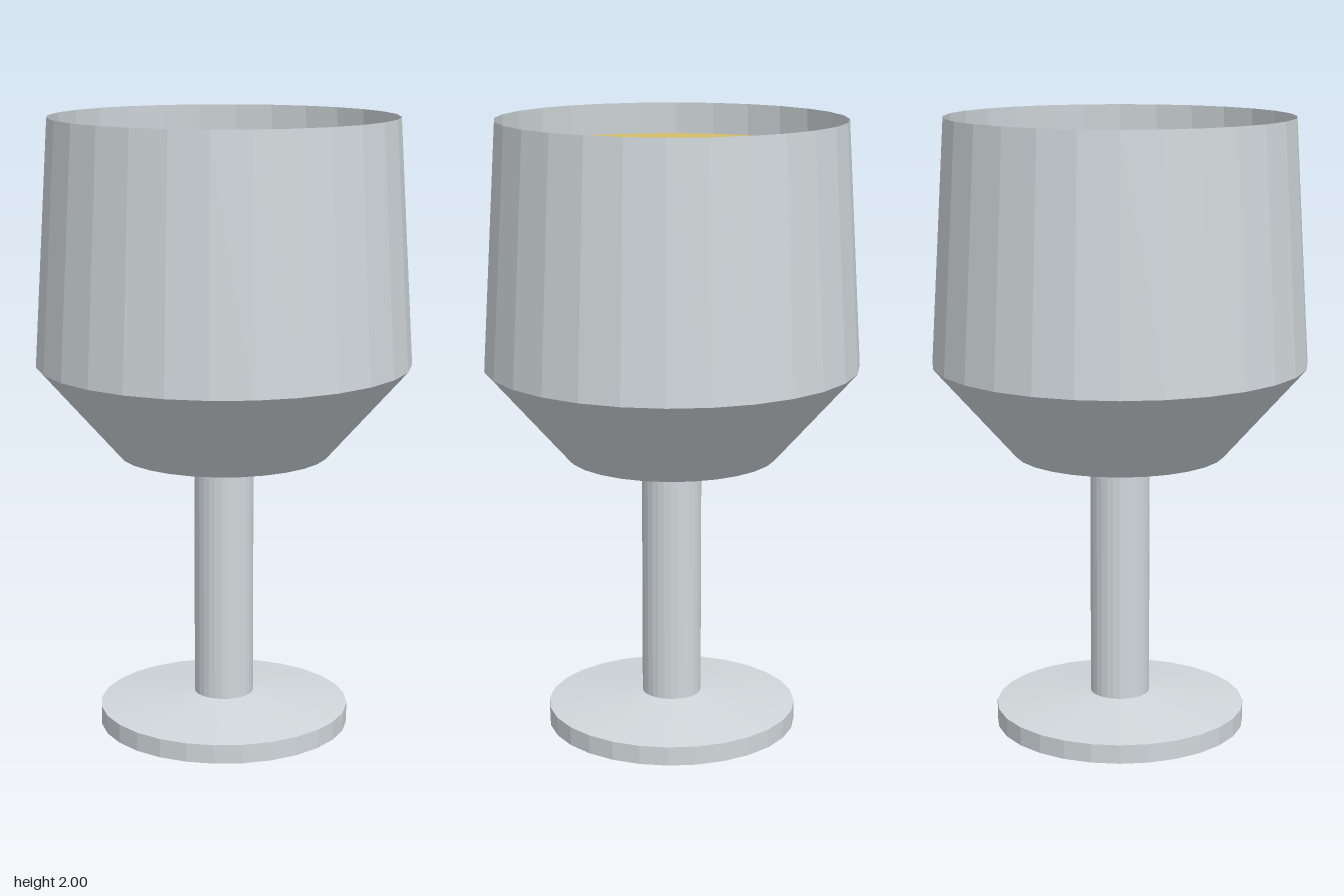
import * as THREE from 'three';

const SIDES = 28;

export function createModel() {
  const glass = new THREE.MeshStandardMaterial({ color: 0xd0d7da, flatShading: true, side: THREE.DoubleSide });
  glass.name = 'paleGlass';
  const gold = new THREE.MeshStandardMaterial({ color: 0xd3bd69, flatShading: true });
  gold.name = 'goldenDrink';

  const goblet = new THREE.Group();
  goblet.name = 'goblet';

  // Turns a profile of [radius, height] points, listed from the bottom up
  function turned(name, profile, material) {
    const points = profile.map(([r, y]) => new THREE.Vector2(r, y));
    const mesh = new THREE.Mesh(new THREE.LatheGeometry(points, SIDES), material);
    mesh.name = name;
    goblet.add(mesh);
  }

  // Flat foot with a shallow cone on top
  turned('foot', [[0, 0], [0.41, 0], [0.41, 0.062], [0.097, 0.1]], glass);

  // Straight stem between foot and bowl
  turned('stem', [[0.097, 0.1], [0.097, 0.916]], glass);

  // Thin open bowl: floor, flared lower part, tapering wall
  turned('bowl', [[0, 0.916], [0.342, 0.916], [0.605, 1.214], [0.557, 2]], glass);

  // Drink filling the bowl to just below the rim
  turned('drink', [[0, 0.945], [0.32, 0.945], [0.568, 1.225], [0.522, 1.9], [0, 1.9]], gold);

  return goblet;
}
